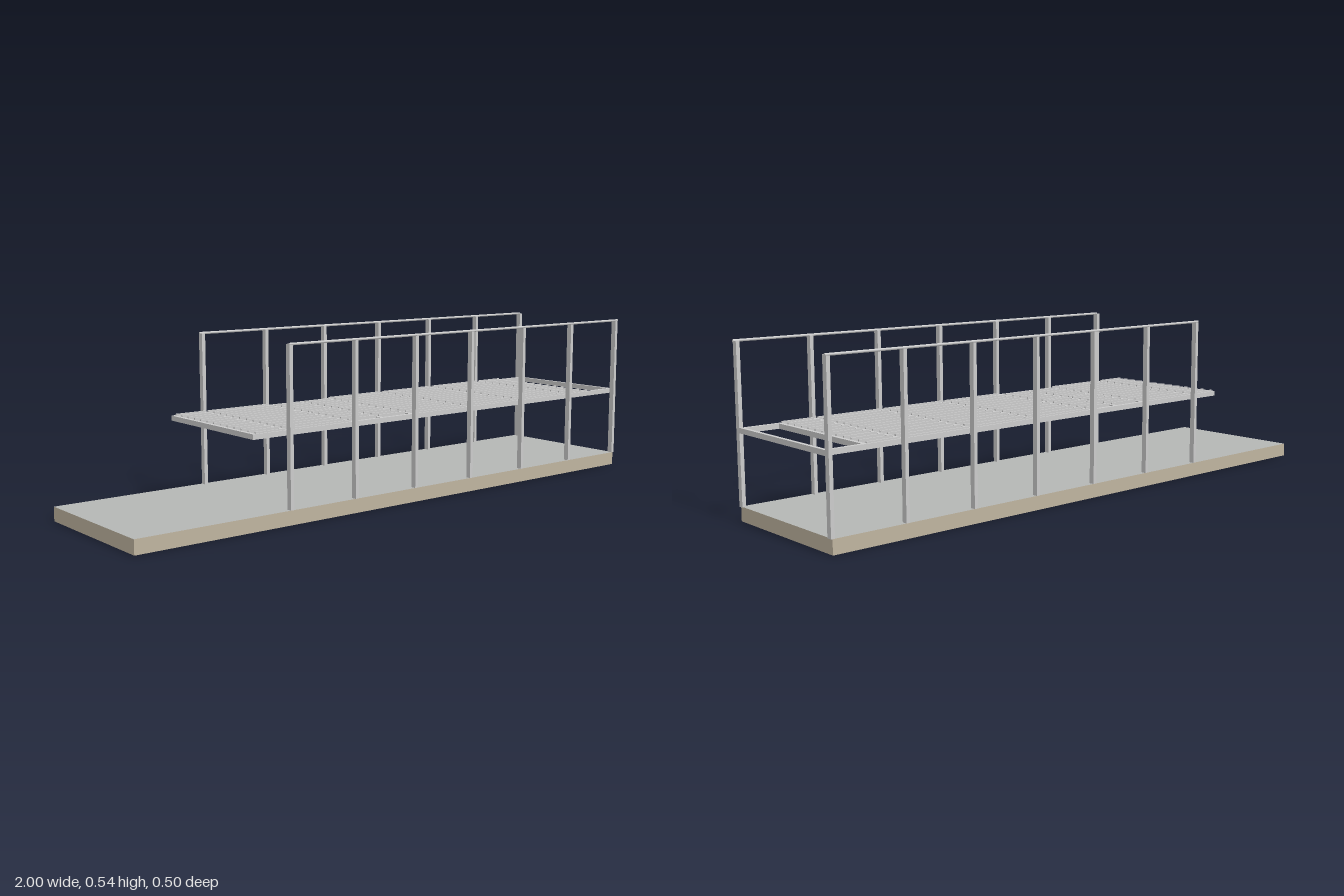
import * as THREE from 'three';

export function createModel() {
  const model = new THREE.Group();
  const steel = new THREE.MeshStandardMaterial({ color: 0xcccccc });
  const earth = new THREE.MeshStandardMaterial({ color: 0xbfb49f });
  const paving = new THREE.MeshStandardMaterial({ color: 0xb4b6b4 });

  // Box given by its lower and upper limits on each axis
  function box(name, [x0, x1], [y0, y1], [z0, z1], material = steel, parent = model) {
    const mesh = new THREE.Mesh(new THREE.BoxGeometry(x1 - x0, y1 - y0, z1 - z0), material);
    mesh.position.set((x0 + x1) / 2, (y0 + y1) / 2, (z0 + z1) / 2);
    mesh.name = name;
    parent.add(mesh);
    return mesh;
  }
  const around = (centre, width) => [centre - width / 2, centre + width / 2];

  // Ground slab: paved top, earth-coloured sides and underside
  box('groundSlab', [-1, 0.993], [0, 0.045], [-0.246, 0.246],
    [earth, earth, paving, earth, earth, earth]);

  // Posts and handrails along both sides
  const firstPost = -0.478, bay = 0.245, postCount = 7;
  const postX = i => firstPost + i * bay;
  for (const side of [1, -1]) {
    const railing = new THREE.Group();
    railing.name = side > 0 ? 'frontRailing' : 'backRailing';
    for (let i = 0; i < postCount; i++) {
      box('post', around(postX(i), 0.012), [0.045, 0.536], around(side * 0.238, 0.018), steel, railing);
    }
    const x0 = firstPost - 0.006, x1 = 1;
    const rail = new THREE.Mesh(new THREE.CylinderGeometry(0.004, 0.004, x1 - x0, 12), steel);
    rail.rotation.z = Math.PI / 2;
    rail.position.set((x0 + x1) / 2, 0.536, side * 0.244);
    rail.name = 'handrail';
    railing.add(rail);
    model.add(railing);
  }

  // Platform frame: side beams, cross beams and a short centre beam
  const frame = new THREE.Group();
  frame.name = 'platformFrame';
  model.add(frame);
  const beamY = [0.267, 0.283];
  for (const side of [1, -1]) {
    box('sideBeam', [-0.602, 0.997], beamY, around(side * 0.223, 0.012), steel, frame);
  }
  const crossX = [-0.596, postX(0), postX(1), -0.11, postX(2), postX(3), postX(4), postX(5), 0.869, postX(6)];
  for (const x of crossX) {
    box('crossBeam', around(x, 0.012), beamY, [-0.229, 0.229], steel, frame);
  }
  box('centreBeam', [postX(1), postX(2)], beamY, around(0, 0.014), steel, frame);

  // Deck bars between cross beams; the last bay stays open
  const deck = new THREE.Group();
  deck.name = 'deck';
  model.add(deck);
  const pitch = 0.0369;
  for (let b = 0; b < crossX.length - 2; b++) {
    const split = b === 2 || b === 3; // bays either side of the centre beam
    const span = [crossX[b] + 0.006, crossX[b + 1] - 0.006];
    const rows = [];
    if (split) {
      for (let k = 0; k < 6; k++) rows.push(0.0098 + k * pitch, -0.0098 - k * pitch);
    } else {
      for (let k = -6; k <= 6; k++) rows.push(k * pitch);
    }
    for (const z of rows) box('deckBar', span, [0.271, 0.288], around(z, 0.005), steel, deck);
  }
  return model;
}
